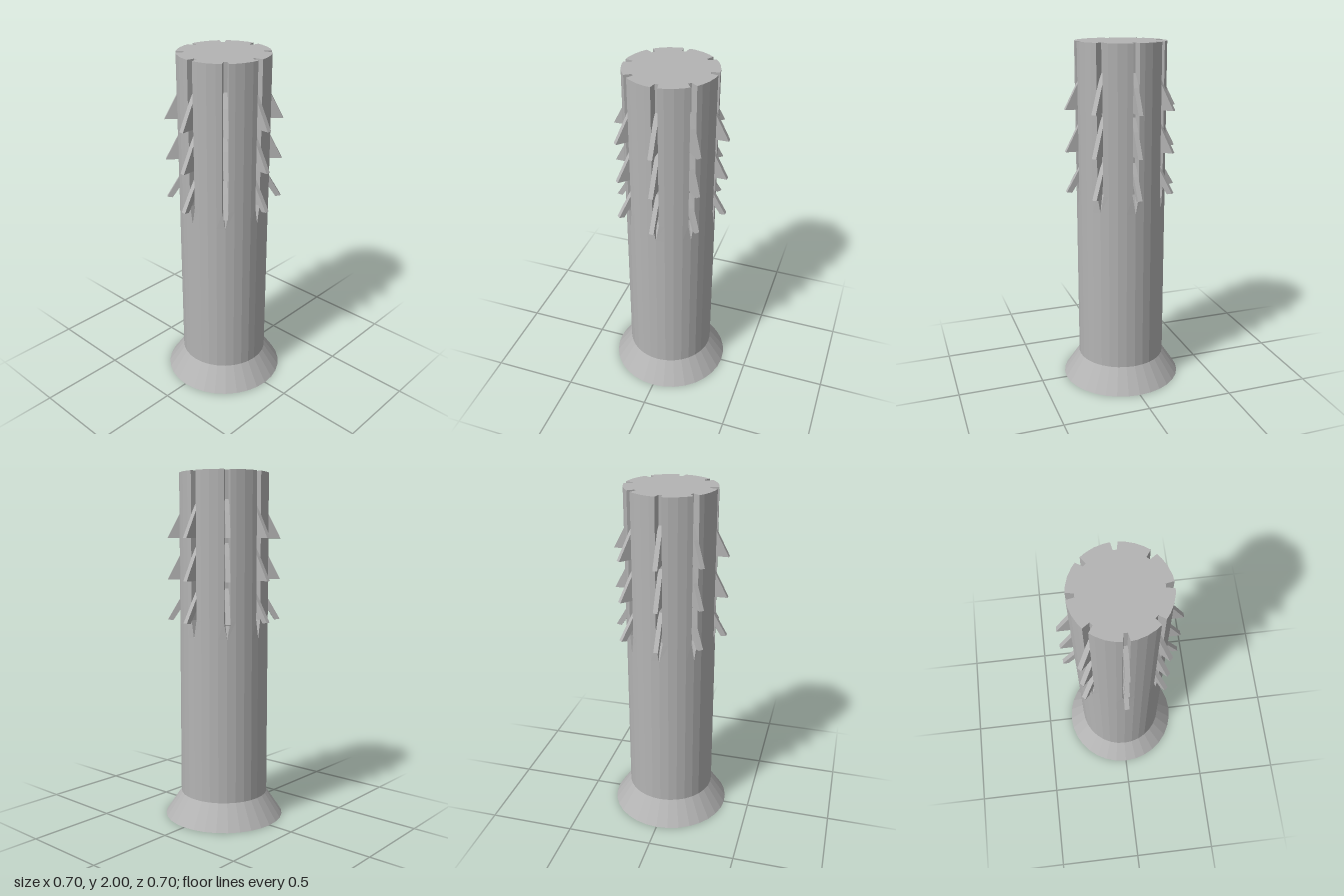
import * as THREE from 'three';

const GROOVES = 8;
const STEP = Math.PI / 16; // 32-sided round section

// Closed outline [x, z] of the body; each groove replaces one corner of the 32-gon
function section(radius, halfWidth, depth) {
  const points = [];
  const add = (r, a) => points.push([r * Math.cos(a), r * Math.sin(a)]);
  for (let i = 0; i < GROOVES; i++) {
    const a = (i * Math.PI * 2) / GROOVES;
    const edge = halfWidth / radius;
    const floor = (halfWidth * 0.55) / (radius - depth);
    add(radius, a - edge);
    add(radius - depth, a - floor);
    add(radius - depth, a + floor);
    add(radius, a + edge);
    for (let k = 1; k < 4; k++) add(radius, a + k * STEP);
  }
  return points;
}

// Skin a stack of equal-length outlines, with flat caps at both ends
function loft(levels) {
  const n = levels[0].ring.length;
  const positions = [];
  const index = [];
  for (const { y, ring } of levels) for (const [x, z] of ring) positions.push(x, y, z);
  for (let l = 0; l < levels.length - 1; l++) {
    for (let i = 0; i < n; i++) {
      const a = l * n + i, b = l * n + ((i + 1) % n);
      index.push(a, a + n, b, b, a + n, b + n);
    }
  }
  const cap = (l, up) => {
    const contour = levels[l].ring.map(([x, z]) => new THREE.Vector2(x, z));
    for (const [a, b, c] of THREE.ShapeUtils.triangulateShape(contour, [])) {
      index.push(l * n + a, l * n + (up ? c : b), l * n + (up ? b : c));
    }
  };
  cap(0, false);
  cap(levels.length - 1, true);
  const geometry = new THREE.BufferGeometry();
  geometry.setAttribute('position', new THREE.Float32BufferAttribute(positions, 3));
  geometry.setIndex(index);
  const flat = geometry.toNonIndexed();
  flat.computeVertexNormals();
  return flat;
}

// Barb profile in the radial plane, given a thickness
function barbGeometry(profile, thickness) {
  const shape = new THREE.Shape(profile.map(([r, y]) => new THREE.Vector2(r, y)));
  const geometry = new THREE.ExtrudeGeometry(shape, { depth: thickness, bevelEnabled: false });
  geometry.translate(0, 0, -thickness / 2);
  return geometry;
}

export function createModel() {
  const model = new THREE.Group();
  model.name = 'wallPlug';
  const plastic = new THREE.MeshStandardMaterial({ color: 0xb4b4b4 });
  plastic.name = 'grey plastic';
  plastic.flatShading = true;

  // Flared collar at the base
  const collar = new THREE.Mesh(new THREE.CylinderGeometry(0.255, 0.348, 0.14, 32), plastic);
  collar.name = 'collar';
  collar.position.y = 0.07;
  model.add(collar);

  // Round shaft below the grooves
  const shaft = new THREE.Mesh(new THREE.CylinderGeometry(0.255, 0.255, 0.94, 32, 1, true), plastic);
  shaft.name = 'shaft';
  shaft.position.y = 0.61;
  model.add(shaft);

  // Grooved upper shaft; grooves run out to nothing at the bottom
  const grooved = new THREE.Mesh(loft([
    { y: 1.08, ring: section(0.255, 0.001, 0.0005) },
    { y: 1.18, ring: section(0.255, 0.018, 0.043) },
    { y: 2, ring: section(0.255, 0.018, 0.043) },
  ]), plastic);
  grooved.name = 'groovedShaft';
  model.add(grooved);

  // Three barbs in every groove: two solid wedges above a thin slanted fin
  const wedge = (y) => [[0.205, y], [0.325, y], [0.255, y + 0.135], [0.205, y + 0.22]];
  const fin = [[0.205, 1.3], [0.295, 1.165], [0.325, 1.17], [0.255, 1.29], [0.205, 1.37]];
  const barbs = [
    ['upperBarb', barbGeometry(wedge(1.635), 0.026)],
    ['middleBarb', barbGeometry(wedge(1.4), 0.026)],
    ['lowerFin', barbGeometry(fin, 0.026)],
  ];
  for (let i = 0; i < GROOVES; i++) {
    const row = new THREE.Group();
    row.name = 'barbRow';
    row.rotation.y = (i * Math.PI * 2) / GROOVES;
    for (const [name, geometry] of barbs) {
      const barb = new THREE.Mesh(geometry, plastic);
      barb.name = name;
      row.add(barb);
    }
    model.add(row);
  }
  return model;
}
